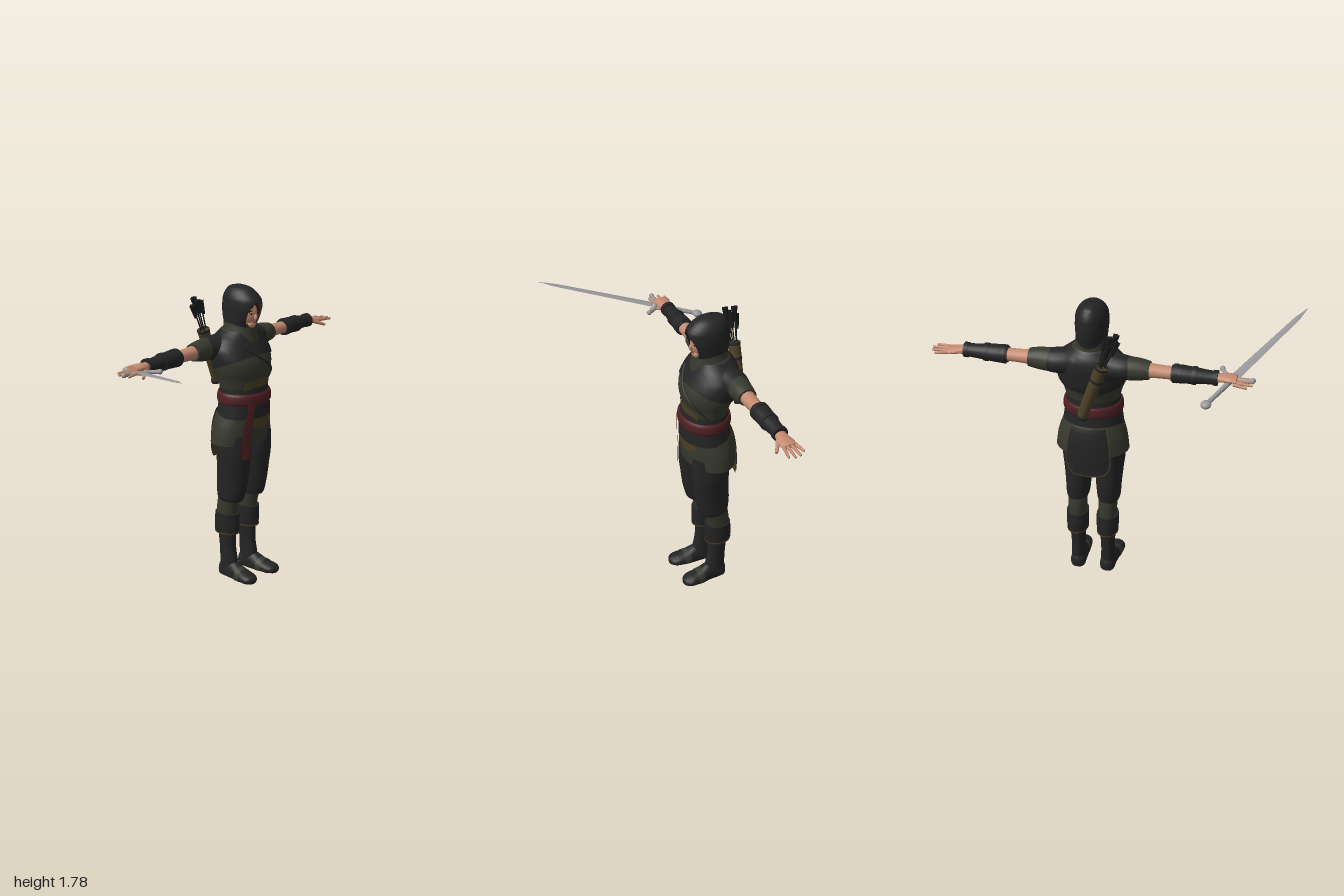
import * as THREE from 'three';
import { mergeVertices, toCreasedNormals } from 'three/addons/utils/BufferGeometryUtils.js';
import { ParametricGeometry } from 'three/addons/geometries/ParametricGeometry.js';

const mat = (name, color) => {
  const m = new THREE.MeshStandardMaterial({ color, side: THREE.DoubleSide });
  m.name = name;
  return m;
};
const M = {
  black: mat('blackCloth', 0x242424), green: mat('greenCloth', 0x37392e), brown: mat('brownLeather', 0x4b3f26),
  red: mat('redSash', 0x4f2022), skin: mat('skin', 0xc48a70), steel: mat('steel', 0x98989b),
  hair: mat('hair', 0x3a1613), dark: mat('darkFeather', 0x181a1a), lips: mat('lips', 0x8e4c44),
};

// Catmull-Rom refinement of section rows [height, cx, cz, rx, rz, opening]
function refine(rows, k = 4) {
  const out = [], P = i => rows[Math.max(0, Math.min(rows.length - 1, i))];
  for (let i = 0; i < rows.length - 1; i++) for (let j = 0; j < k; j++) {
    const t = j / k, a = P(i - 1), b = P(i), c = P(i + 1), d = P(i + 2);
    out.push(b.map((_, n) => 0.5 * (2 * b[n] + (c[n] - a[n]) * t + (2 * a[n] - 5 * b[n] + 4 * c[n] - d[n]) * t * t
      + (3 * b[n] - a[n] - 3 * c[n] + d[n]) * t * t * t)));
  }
  out.push(rows[rows.length - 1]);
  return out;
}

// Skin over elliptical sections stacked along y, bottom to top
function loft(rows, { n = 28, k = 4, cap = true, edit } = {}) {
  let r = refine(rows, k);
  if (cap) {
    const flat = a => [a[0], a[1], a[2], 0, 0, a[5]];
    r = [flat(r[0]), ...r, flat(r[r.length - 1])];
  }
  const pos = [], idx = [], w = n + 1;
  r.forEach(([y, cx, cz, rx, rz, open = 0], i) => {
    const o = Math.max(0, open);
    for (let j = 0; j <= n; j++) {
      const t = o + (2 * Math.PI - 2 * o) * j / n;
      pos.push(cx + rx * Math.sin(t), y, cz + rz * Math.cos(t));
      const a = i * w + j;
      if (i < r.length - 1 && j < n) idx.push(a, a + 1, a + w, a + 1, a + w + 1, a + w);
    }
  });
  let g = new THREE.BufferGeometry();
  g.setAttribute('position', new THREE.Float32BufferAttribute(pos, 3));
  g.setIndex(idx);
  if (edit) edit(g);
  g = mergeVertices(g, 1e-5);
  return toCreasedNormals(g, 0.8);
}

// Point on a lofted body at height y and angle t, pushed out by off
function pointOn(rows, y, t, off, target = new THREE.Vector3()) {
  let i = 0;
  while (i < rows.length - 2 && rows[i + 1][0] < y) i++;
  const a = rows[i], b = rows[i + 1], f = Math.max(0, Math.min(1, (y - a[0]) / (b[0] - a[0])));
  const [, cx, cz, rx, rz] = a.map((v, n) => v + (b[n] - v) * f);
  return target.set(cx + (rx + off) * Math.sin(t), y, cz + (rz + off) * Math.cos(t));
}

// Thin plate wrapped on a body; lo and hi give its edges for k in -1..1
const patch = (rows, tMid, tHalf, lo, hi, off, nu = 20, nv = 10) => new ParametricGeometry((u, v, p) => {
  const k = u * 2 - 1, y0 = lo(k), y1 = hi(k);
  pointOn(rows, y0 + (y1 - y0) * v, tMid + k * tHalf, off, p);
}, nu, nv);

const SKIRT = [[0.86, 0, -0.165, 0.21, 0.145], [0.95, 0, -0.16, 0.198, 0.146], [1.02, 0, -0.15, 0.175, 0.143], [1.07, 0, -0.137, 0.157, 0.134]];
const TORSO = [[1.17, 0, -0.14, 0.148, 0.122], [1.24, 0, -0.145, 0.165, 0.13], [1.3, 0, -0.15, 0.186, 0.149],
  [1.36, 0, -0.157, 0.196, 0.15], [1.42, 0, -0.177, 0.195, 0.138], [1.47, 0, -0.188, 0.165, 0.12], [1.5, 0, -0.185, 0.125, 0.105], [1.53, 0, -0.175, 0.085, 0.09]];

export function createModel() {
  const model = new THREE.Group();
  model.name = 'hoodedArcher';
  const body = new THREE.Group();
  body.name = 'body';
  body.position.x = 0.11;
  model.add(body);
  const add = (name, geo, m, pos, parent = body) => {
    const mesh = new THREE.Mesh(geo, m);
    mesh.name = name;
    if (pos) mesh.position.set(...pos);
    parent.add(mesh);
    return mesh;
  };
  const ball = (name, m, pos, scale, parent) => {
    const b = add(name, new THREE.SphereGeometry(1, 24, 16), m, pos, parent);
    b.scale.set(...scale);
    return b;
  };
  const rod = (name, m, a, b, r0, r1, parent = body, n = 10) => {
    const A = new THREE.Vector3(...a), d = new THREE.Vector3(...b).sub(A);
    const c = add(name, new THREE.CylinderGeometry(r1, r0, d.length(), n), m, A.addScaledVector(d, 0.5).toArray(), parent);
    c.quaternion.setFromUnitVectors(new THREE.Vector3(0, 1, 0), d.normalize());
    return c;
  };

  // Tunic, mantle and collar
  const skirt = refine(SKIRT), torso = refine(TORSO);
  add('tunicSkirt', loft(SKIRT, { n: 40 }), M.green);
  add('tunicChest', loft(TORSO, { n: 40 }), M.green);
  add('mantle', patch(torso, 0, Math.PI, k => 1.33 + 0.06 * Math.cos(k * Math.PI), () => 1.52, 0.007, 40, 12), M.black);
  add('collar', loft([[1.455, 0, -0.175, 0.105, 0.122], [1.5, 0, -0.17, 0.1, 0.108], [1.54, 0, -0.168, 0.09, 0.1], [1.565, 0, -0.17, 0.086, 0.098]], { cap: false }), M.green);

  // Waist wraps, sash and leather plates
  add('waistWrap', loft([[1.02, 0, -0.143, 0.174, 0.144], [1.1, 0, -0.137, 0.162, 0.139], [1.2, 0, -0.14, 0.152, 0.13]], { n: 40 }), M.black);
  add('sashBelt', loft([[1.1, 0, -0.137, 0.166, 0.141], [1.115, 0, -0.137, 0.171, 0.147], [1.15, 0, -0.137, 0.169, 0.146], [1.167, 0, -0.138, 0.161, 0.138]], { n: 40 }), M.red);
  add('sashTail', patch(skirt, -0.52, 0.13, () => 0.78, () => 1.12, 0.016), M.red);
  add('stomachPlate', patch(torso, 0, 0.75, () => 1.18, k => 1.2 + 0.055 * Math.sqrt(1 - k * k), 0.006), M.brown);
  add('frontPlate', patch(skirt, 0.08, 0.58, k => 0.95 + 0.05 * k * k, () => 1.05, 0.006), M.brown);
  add('backFlapTrim', patch(skirt, Math.PI, 0.64, k => 0.73 + 0.06 * k ** 6, () => 1.04, 0.003), M.brown);
  add('backFlap', patch(skirt, Math.PI, 0.59, k => 0.742 + 0.06 * k ** 6, () => 1.04, 0.009), M.black);

  // Quiver strap around the chest
  const strapPts = [];
  for (let i = 0; i <= 20; i++) {
    const f = i / 20;
    strapPts.push(pointOn(torso, 1.44 - 0.24 * f, -0.5 + 1.7 * f, 0.007));
  }
  add('quiverStrap', new THREE.TubeGeometry(new THREE.CatmullRomCurve3(strapPts), 40, 0.007, 6), M.black);

  // Hood with a pointed face opening
  add('hood', loft([[1.5, 0, -0.172, 0.09, 0.1, 0], [1.535, 0, -0.17, 0.086, 0.098, 0.2], [1.56, 0, -0.165, 0.085, 0.105, 0.6],
    [1.6, 0, -0.157, 0.088, 0.122, 0.74], [1.645, 0, -0.152, 0.091, 0.13, 0.66], [1.685, 0, -0.15, 0.089, 0.129, 0.34], [1.71, 0, -0.153, 0.085, 0.122, 0],
    [1.74, 0, -0.16, 0.07, 0.1, 0], [1.765, 0, -0.168, 0.045, 0.068, 0], [1.779, 0, -0.17, 0.005, 0.008, 0]], { n: 40, cap: false }), M.black);

  // Head and face
  ball('head', M.skin, [0, 1.62, -0.135], [0.063, 0.088, 0.083]);
  ball('chin', M.skin, [0, 1.558, -0.095], [0.036, 0.028, 0.036]);
  ball('nose', M.skin, [0, 1.602, -0.052], [0.009, 0.018, 0.013]);
  ball('mouth', M.lips, [0, 1.572, -0.062], [0.017, 0.005, 0.006]);
  ball('neck', M.skin, [0, 1.53, -0.16], [0.05, 0.06, 0.05]);
  for (const s of [-1, 1]) {
    ball('eye', M.dark, [s * 0.024, 1.624, -0.061], [0.011, 0.005, 0.004]);
    ball('eyebrow', M.hair, [s * 0.025, 1.641, -0.06], [0.015, 0.003, 0.004]);
    for (const [x, y, l] of [[0.012, 1.685, 0.03], [0.03, 1.675, 0.045], [0.047, 1.66, 0.06]])
      rod('hairLock', M.hair, [s * x, y, -0.058 - x * 0.35], [s * (x + 0.007), y - l, -0.05 - x * 0.5], 0.011, 0.002, body, 6);
  }

  for (const s of [-1, 1]) {
    // Arm, built upright and turned outwards
    const arm = new THREE.Group();
    arm.name = s > 0 ? 'leftArm' : 'rightArm';
    arm.position.set(0, 1.43, -0.23);
    body.add(arm);
    const limb = (name, rows, m) => add(name, loft(rows, { n: 20 }).rotateZ(-s * Math.PI / 2), m, null, arm);
    limb('shoulderCap', [[0.06, 0, 0.02, 0.068, 0.075], [0.13, 0, 0.01, 0.072, 0.083], [0.19, 0, 0, 0.068, 0.077], [0.235, 0, 0, 0.063, 0.066]], M.black);
    limb('sleeve', [[0.1, 0, 0.02, 0.07, 0.08], [0.2, 0, 0, 0.066, 0.07], [0.28, 0, 0, 0.061, 0.062], [0.335, 0, 0, 0.05, 0.054]], M.green);
    limb('elbow', [[0.3, 0, 0, 0.042, 0.043], [0.4, 0, 0, 0.036, 0.04], [0.5, 0, 0, 0.036, 0.04]], M.skin);
    limb('bracer', [[0.455, 0, 0, 0.044, 0.048], [0.5, 0, 0, 0.05, 0.053], [0.56, 0, 0, 0.046, 0.05], [0.64, 0, 0, 0.039, 0.042], [0.705, 0, 0, 0.034, 0.038]], M.black);
    for (const [x, r] of [[0.465, 0.052], [0.565, 0.05], [0.68, 0.042]])
      limb('bracerBand', [[x, 0, 0, r, r + 0.002], [x + 0.025, 0, 0, r, r + 0.002]], M.black);
    limb('hand', [[0.69, 0, 0, 0.024, 0.03], [0.73, 0.004, 0.002, 0.021, 0.036], [0.77, 0.008, 0, 0.018, 0.044], [0.805, 0.01, -0.002, 0.013, 0.042]], M.skin);
    for (const [z0, z1, l] of [[0.03, 0.045, 0.875], [0.01, 0.014, 0.89], [-0.013, -0.018, 0.885], [-0.034, -0.05, 0.86]]) {
      rod('finger', M.skin, [s * 0.79, -0.009, z0], [s * l, -0.014, z1], 0.0105, 0.007, arm, 8);
      ball('fingertip', M.skin, [s * l, -0.014, z1], [0.007, 0.007, 0.007], arm);
    }
    rod('thumb', M.skin, [s * 0.73, -0.006, 0.025], [s * 0.795, -0.035, 0.07], 0.014, 0.008, arm, 8);

    // Leg
    const leg = new THREE.Group();
    leg.name = s > 0 ? 'leftLeg' : 'rightLeg';
    leg.position.x = s * 0.09;
    body.add(leg);
    const part = (name, rows, m, opt) => add(name, loft(rows, opt), m, null, leg);
    part('trousers', [[0.495, 0.002 * s, -0.163, 0.058, 0.08], [0.52, 0.002 * s, -0.162, 0.067, 0.09], [0.6, 0, -0.155, 0.073, 0.103], [0.7, 0, -0.145, 0.082, 0.106],
      [0.8, 0, -0.14, 0.092, 0.112], [0.92, 0, -0.145, 0.088, 0.115]], M.black);
    part('shin', [[0.36, 0, -0.2, 0.052, 0.065], [0.45, 0, -0.19, 0.054, 0.07], [0.53, 0, -0.17, 0.056, 0.076]], M.green);
    part('bootCuff', [[0.285, 0, -0.195, 0.062, 0.08], [0.34, 0, -0.195, 0.065, 0.082], [0.405, 0, -0.192, 0.064, 0.079]], M.black);
    part('cuffTrim', [[0.278, 0, -0.195, 0.063, 0.081], [0.287, 0, -0.195, 0.064, 0.082]], M.brown);
    part('bootShaft', [[0.04, 0, -0.18, 0.046, 0.058], [0.1, 0, -0.182, 0.042, 0.061], [0.18, 0, -0.19, 0.041, 0.055], [0.3, 0, -0.195, 0.048, 0.06]], M.black);
    const flatten = g => {
      g.rotateX(Math.PI / 2);
      const p = g.attributes.position;
      for (let i = 0; i < p.count; i++) p.setY(i, Math.max(0, p.getY(i)));
    };
    part('foot', [[-0.243, 0, -0.03, 0.025, 0.04], [-0.22, 0, -0.03, 0.044, 0.06], [-0.14, s * 0.002, -0.03, 0.046, 0.07], [-0.07, s * 0.008, -0.022, 0.053, 0.045],
      [-0.01, s * 0.013, -0.02, 0.054, 0.032], [0.022, s * 0.014, -0.018, 0.036, 0.022], [0.033, s * 0.014, -0.015, 0.012, 0.012]], M.black, { edit: flatten });
    part('footStrap', [[-0.095, s * 0.006, -0.022, 0.052, 0.056], [-0.055, s * 0.01, -0.022, 0.0555, 0.044]], M.green, { edit: flatten });
  }

  // Quiver and arrows
  const q0 = new THREE.Vector3(0.015, 1.165, -0.36), q1 = new THREE.Vector3(-0.1, 1.5, -0.365);
  const along = (f, dx = 0, dz = 0) => q0.clone().lerp(q1, f).add(new THREE.Vector3(dx, 0, dz)).toArray();
  rod('quiver', M.brown, along(0), along(1), 0.03, 0.036, body, 18);
  for (const f of [0, 0.72, 0.96]) rod('quiverBand', M.black, along(f), along(f + 0.04), 0.037, 0.038, body, 18);
  for (const [dx, dz, f] of [[-0.03, 0, 1.45], [-0.012, 0.025, 1.54], [0.012, -0.02, 1.56], [0.03, 0.01, 1.5], [0, -0.03, 1.42]]) {
    rod('arrowShaft', M.dark, along(0.9, dx * 0.5, dz * 0.5), along(f, dx, dz), 0.004, 0.004, body, 6);
    const feather = rod('fletching', M.dark, along(f - 0.22, dx, dz), along(f + 0.02, dx, dz), 0.009, 0.02, body, 3);
    const cross = feather.clone();
    cross.rotateY(Math.PI);
    body.add(cross);
  }

  // Sword: local y runs from pommel to tip
  const sword = new THREE.Group();
  sword.name = 'sword';
  sword.position.set(-0.56, 1.37, -0.41);
  const Y = new THREE.Vector3(-0.44, 0.183, 0.835).normalize(), X = new THREE.Vector3(0.885, 0, 0.466).normalize();
  sword.quaternion.setFromRotationMatrix(new THREE.Matrix4().makeBasis(X, Y, new THREE.Vector3().crossVectors(X, Y)));
  model.add(sword);
  add('blade', loft([[0.27, 0, 0, 0.028, 0.007], [0.86, 0, 0, 0.017, 0.005], [0.96, 0, 0, 0.001, 0.001]], { n: 4, k: 1 }), M.steel, null, sword);
  rod('grip', M.steel, [0, 0, 0], [0, 0.26, 0], 0.012, 0.015, sword, 12);
  ball('pommel', M.steel, [0, 0, 0], [0.029, 0.029, 0.02], sword);
  const guard = new THREE.CatmullRomCurve3([[-0.1, 0.285], [-0.06, 0.262], [0, 0.255], [0.06, 0.262], [0.1, 0.285]].map(([x, y]) => new THREE.Vector3(x, y, 0)));
  add('crossguard', new THREE.TubeGeometry(guard, 24, 0.011, 10), M.steel, null, sword);
  for (const s of [-1, 1]) ball('guardEnd', M.steel, [s * 0.1, 0.285, 0], [0.015, 0.015, 0.015], sword);

  return model;
}
